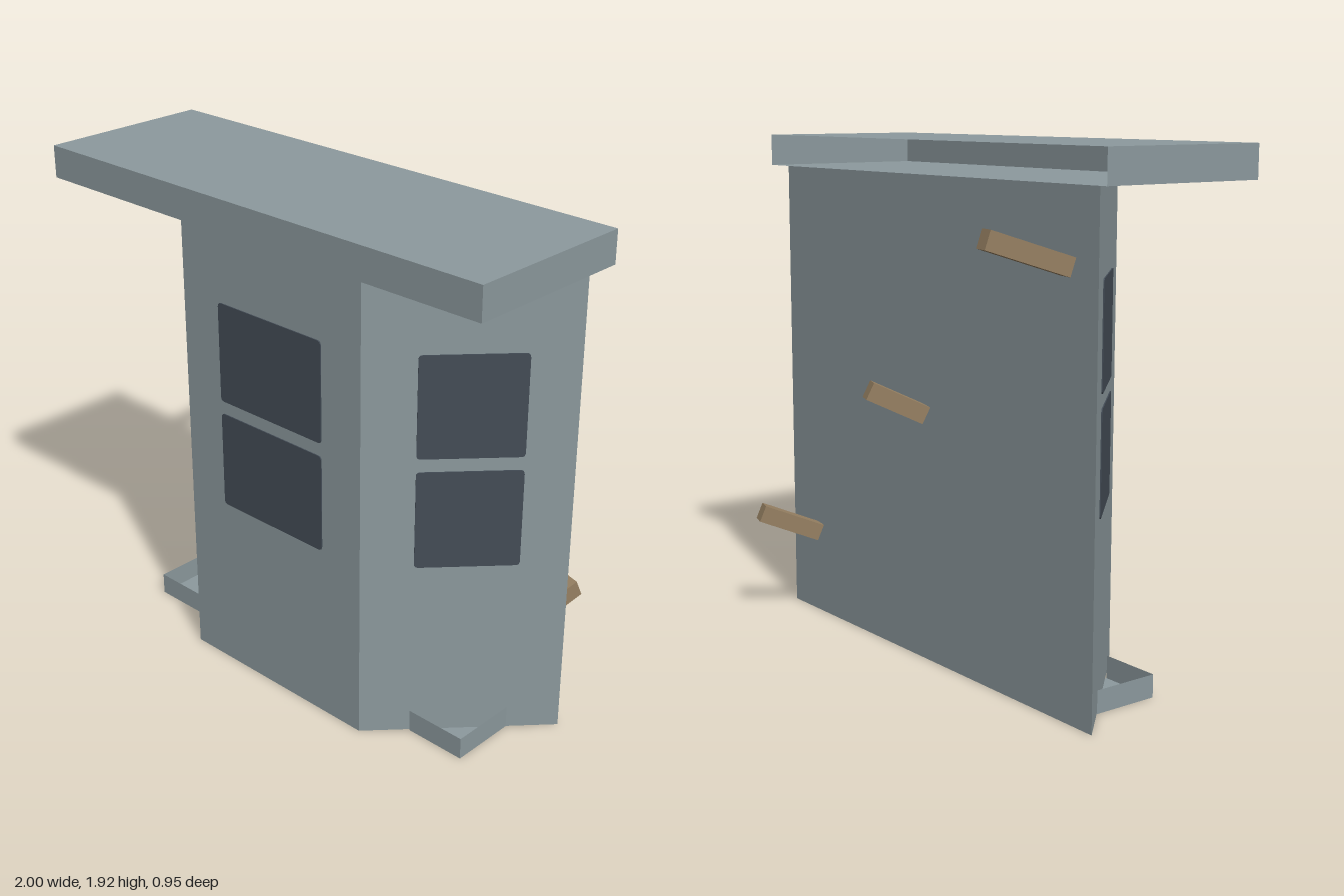
import * as THREE from 'three';

const wall = new THREE.MeshStandardMaterial({ name: 'greyPanel', color: 0x8c999d, side: THREE.DoubleSide });
const glass = new THREE.MeshStandardMaterial({ name: 'darkGlass', color: 0x444d57 });
const wood = new THREE.MeshStandardMaterial({ name: 'brownWood', color: 0x968062 });

// Box that keeps only some sides: 0 +x, 1 -x, 2 top, 3 bottom, 4 front, 5 back
function openBox(w, h, d, sides) {
  const geo = new THREE.BoxGeometry(w, h, d);
  const all = Array.from(geo.index.array);
  geo.setIndex(sides.flatMap((s) => all.slice(s * 6, s * 6 + 6)));
  geo.clearGroups();
  return geo;
}

// Thin pane with slightly rounded corners, centred on its own origin
function paneGeometry(w, h, r = 0.016) {
  const x = w / 2, y = h / 2;
  const s = new THREE.Shape();
  s.moveTo(-x + r, -y);
  s.lineTo(x - r, -y);
  s.quadraticCurveTo(x, -y, x, -y + r);
  s.lineTo(x, y - r);
  s.quadraticCurveTo(x, y, x - r, y);
  s.lineTo(-x + r, y);
  s.quadraticCurveTo(-x, y, -x, y - r);
  s.lineTo(-x, -y + r);
  s.quadraticCurveTo(-x, -y, -x + r, -y);
  return new THREE.ExtrudeGeometry(s, { depth: 0.004, bevelEnabled: false, curveSegments: 4 });
}

export function createModel() {
  const model = new THREE.Group();
  model.name = 'bayWindow';

  const add = (name, geo, mat, x, y, z) => {
    const mesh = new THREE.Mesh(geo, mat);
    mesh.name = name;
    mesh.position.set(x, y, z);
    model.add(mesh);
    return mesh;
  };

  // Body: trapezoid plan, wide at the back
  const plan = new THREE.Shape([
    [-0.93, 0.155], [-0.43, -0.375], [0.43, -0.375], [0.93, 0.155],
  ].map(([x, y]) => new THREE.Vector2(x, y)));
  const body = new THREE.ExtrudeGeometry(plan, { depth: 1.799, bevelEnabled: false });
  body.rotateX(-Math.PI / 2);
  add('body', body, wall, 0, 0, 0);

  // Roof slab, hollow and open at the back
  add('roof', openBox(2, 0.12, 0.665, [0, 1, 2, 3, 4]), wall, 0, 1.86, 0.1425);

  // Two panes on the front and on each angled wall
  const slant = Math.atan2(0.53, 0.5);
  for (const [name, low, high] of [['lower', 0.688, 1.06], ['upper', 1.11, 1.49]]) {
    const y = (low + high) / 2, h = high - low;
    add(name + 'FrontPane', paneGeometry(0.5, h), glass, 0, y, 0.375);
    for (const side of [-1, 1]) {
      const pane = add(name + (side > 0 ? 'LeftPane' : 'RightPane'),
        paneGeometry(0.368, h), glass, side * 0.685, y, 0.1047);
      pane.rotation.y = side * slant;
    }
  }

  // Small open trays at the foot of the angled walls
  for (const side of [-1, 1]) {
    add(side > 0 ? 'leftTray' : 'rightTray',
      openBox(0.24, 0.085, 0.26, [side > 0 ? 0 : 1, 3, 4]), wall,
      side * 0.68, 0.0425, 0.115);
  }

  // Wooden pegs leaning up and out of the back wall: base, tip
  const pegs = [
    [[-0.797, 1.537, -0.165], [-0.735, 1.635, -0.46]],
    [[-0.008, 0.935, -0.167], [0.066, 1.035, -0.36]],
    [[0.728, 0.338, -0.167], [0.796, 0.437, -0.393]],
  ];
  for (const [from, to] of pegs) {
    const a = new THREE.Vector3(...from), b = new THREE.Vector3(...to);
    const mid = a.clone().lerp(b, 0.5);
    const peg = add('backPeg', new THREE.BoxGeometry(0.062, 0.066, a.distanceTo(b)), wood, mid.x, mid.y, mid.z);
    peg.lookAt(b);
  }

  return model;
}
